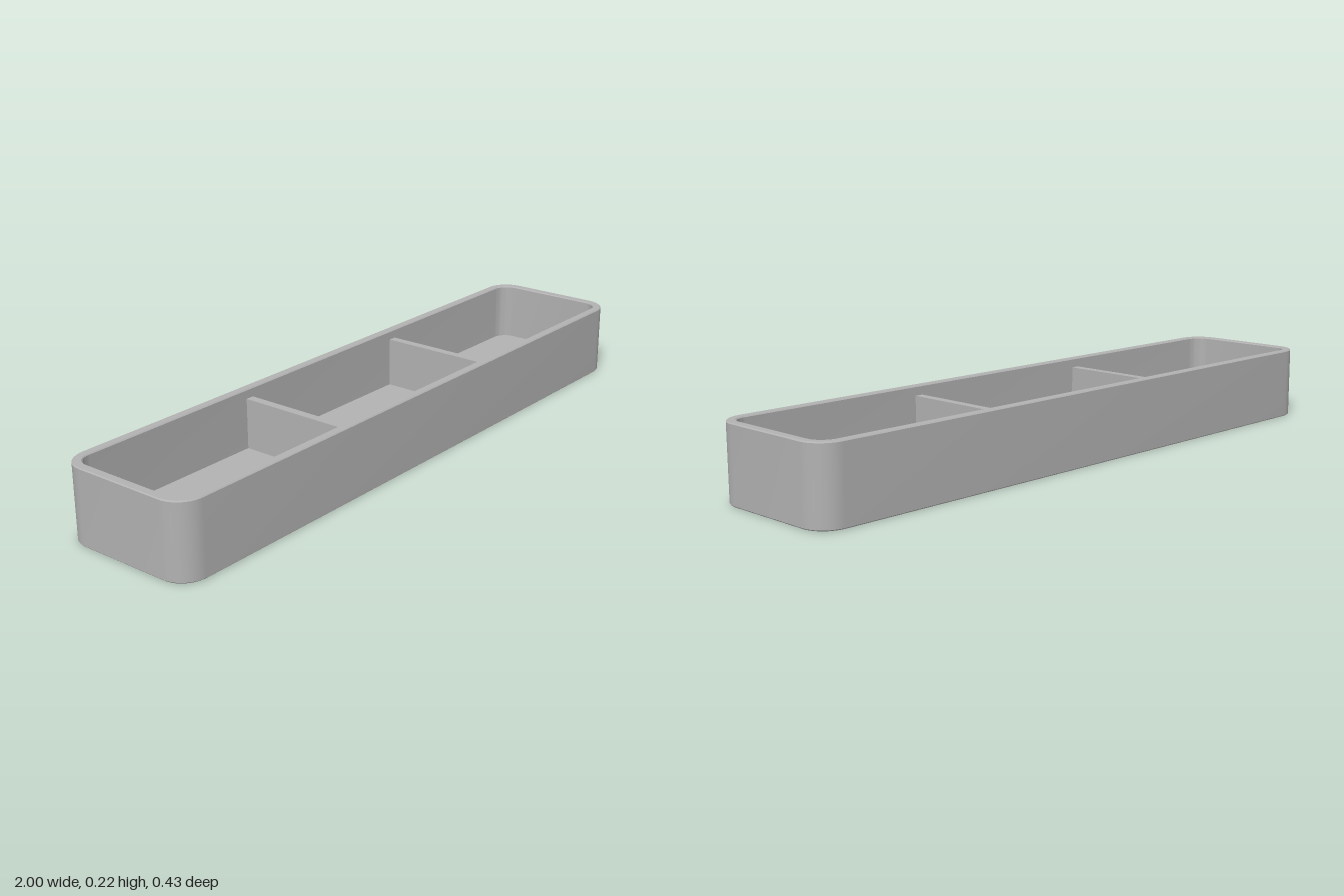
import * as THREE from 'three';
import { toCreasedNormals } from 'three/addons/utils/BufferGeometryUtils.js';

const HALF_X = 1, HALF_Z = 0.216, RADIUS = 0.075;
const HEIGHT = 0.22, WALL = 0.027, FLOOR = 0.04, EDGE = 0.003;

// Rounded rectangle loop at height y, shrunk by inset, anticlockwise from above
function ring(inset, y, steps = 10) {
  const r = RADIUS - inset, points = [];
  const cx = HALF_X - RADIUS, cz = HALF_Z - RADIUS;
  const corners = [[1, 1], [-1, 1], [-1, -1], [1, -1]];
  corners.forEach(([sx, sz], q) => {
    for (let i = 0; i <= steps; i++) {
      const t = (q + i / steps) * Math.PI / 2;
      points.push([sx * cx + r * Math.cos(t), y, -(sz * cz + r * Math.sin(t))]);
    }
  });
  return points;
}

// Skin consecutive loops, closing both ends with a flat fan
function skin(rings) {
  const pos = [], n = rings[0].length;
  const first = [0, rings[0][0][1], 0];
  const last = [0, rings[rings.length - 1][0][1], 0];
  for (let i = 0; i < n; i++) {
    const j = (i + 1) % n;
    pos.push(...first, ...rings[0][j], ...rings[0][i]);
    for (let k = 0; k < rings.length - 1; k++) {
      const a = rings[k][i], b = rings[k][j], c = rings[k + 1][j], d = rings[k + 1][i];
      pos.push(...a, ...b, ...c, ...a, ...c, ...d);
    }
    const end = rings[rings.length - 1];
    pos.push(...end[i], ...end[j], ...last);
  }
  const geometry = new THREE.BufferGeometry();
  geometry.setAttribute('position', new THREE.Float32BufferAttribute(pos, 3));
  return toCreasedNormals(geometry, 0.5);
}

export function createModel() {
  const group = new THREE.Group();
  group.name = 'dividedTray';
  const grey = new THREE.MeshStandardMaterial({ color: 0xb2b2b2 });
  grey.name = 'grey';

  // Tray: up the outside, over the rim, down to the inner floor
  const tray = new THREE.Mesh(skin([
    ring(EDGE, 0), ring(0, EDGE), ring(0, HEIGHT - EDGE), ring(EDGE, HEIGHT),
    ring(WALL - EDGE, HEIGHT), ring(WALL, HEIGHT - EDGE), ring(WALL, FLOOR),
  ]), grey);
  tray.name = 'tray';
  group.add(tray);

  // Two dividers, a little lower than the rim, sunk into floor and walls
  const top = 0.192, bottom = FLOOR - 0.01;
  for (const side of [-1, 1]) {
    const divider = new THREE.Mesh(
      new THREE.BoxGeometry(0.026, top - bottom, 2 * (HALF_Z - WALL) + 0.01), grey);
    divider.position.set(side * 0.332, (top + bottom) / 2, 0);
    divider.name = side > 0 ? 'leftDivider' : 'rightDivider';
    group.add(divider);
  }
  return group;
}
